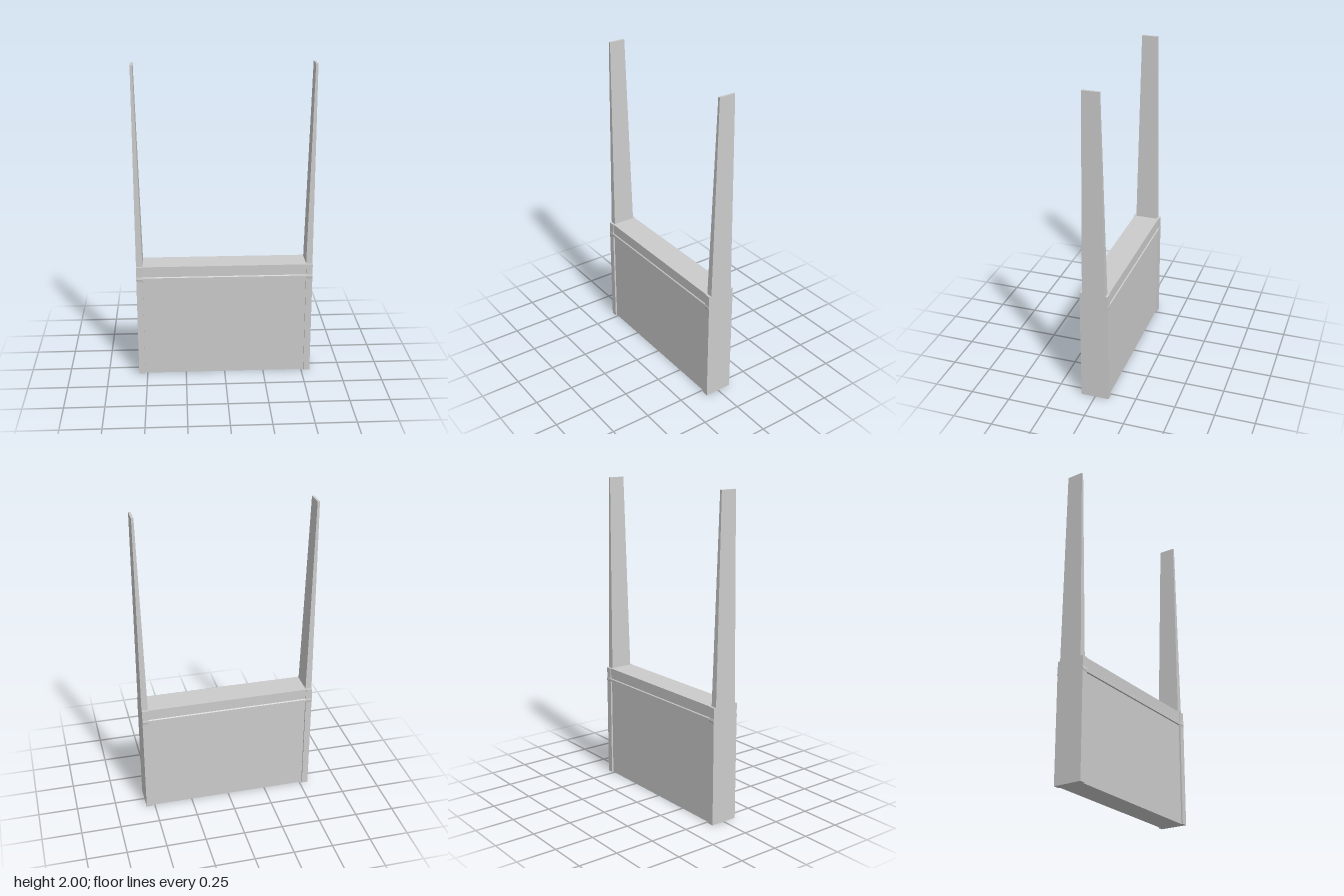
import * as THREE from 'three';

const material = new THREE.MeshStandardMaterial({ color: 0xcccccc, flatShading: true });

function add(group, name, geometry) {
  const mesh = new THREE.Mesh(geometry, material);
  mesh.name = name;
  group.add(mesh);
  return mesh;
}

function box(w, h, d, y) {
  return new THREE.BoxGeometry(w, h, d).translate(0, y + h / 2, 0);
}

// Extrude a symmetric (z, y) half profile along x, centred on x = 0.
function profileBar(half, length) {
  const pts = [...half, ...half.slice().reverse().map(([z, y]) => [-z, y])];
  const shape = new THREE.Shape(pts.map(([z, y]) => new THREE.Vector2(z, y)));
  return new THREE.ExtrudeGeometry(shape, { depth: length, bevelEnabled: false })
    .translate(0, 0, -length / 2)
    .rotateY(Math.PI / 2);
}

export function createModel() {
  const model = new THREE.Group();
  model.name = 'panelWithPosts';
  const outer = 0.555, inner = 0.515, base = 0.74, top = 2;

  // Recessed panel between the posts
  add(model, 'panel', box(inner * 2, 0.66, 0.156, 0));

  // Top rail with a small projecting lip along its lower edge
  add(model, 'topRail', profileBar(
    [[0.083, 0.65], [0.09, 0.65], [0.09, 0.667], [0.084, 0.672], [0.084, base]], inner * 2));

  for (const side of [-1, 1]) {
    // Square lower post, with a slight ridge level with the lip
    const lower = add(model, side > 0 ? 'leftLowerPost' : 'rightLowerPost', profileBar(
      [[0.089, 0], [0.089, 0.645], [0.092, 0.66], [0.089, 0.675], [0.089, base]], outer - inner));
    lower.position.x = side * (outer + inner) / 2;

    // Tall upper post: outer face upright, the other three sides taper
    const geometry = new THREE.BoxGeometry(1, top - base, 1);
    const p = geometry.attributes.position;
    for (let i = 0; i < p.count; i++) {
      const high = p.getY(i) > 0;
      const isOuter = p.getX(i) * side > 0;
      p.setXYZ(i,
        side * (isOuter ? outer : high ? 0.541 : inner),
        high ? top : base,
        Math.sign(p.getZ(i)) * (high ? 0.052 : 0.073));
    }
    geometry.computeVertexNormals();
    add(model, side > 0 ? 'leftUpperPost' : 'rightUpperPost', geometry);
  }
  return model;
}
